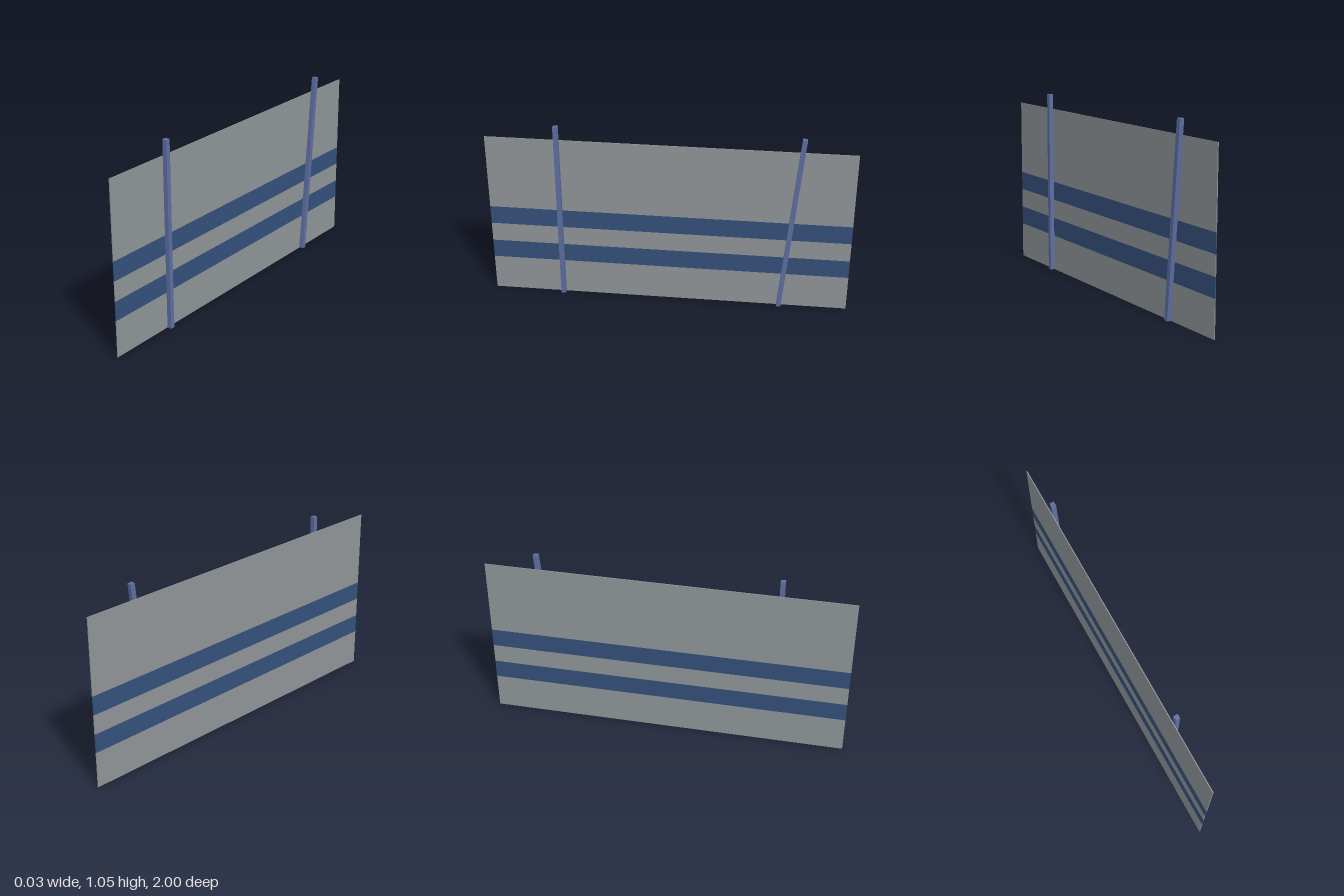
import * as THREE from 'three';

export function createModel() {
  const group = new THREE.Group();
  const mat = (name, color) => {
    const m = new THREE.MeshStandardMaterial({ color });
    m.name = name;
    return m;
  };
  const grey = mat('panelGrey', 0x8f9497);
  const navy = mat('stripeNavy', 0x34507a);
  const blue = mat('postBlue', 0x5d6ea0);

  const addBox = (name, material, size, position) => {
    const mesh = new THREE.Mesh(new THREE.BoxGeometry(...size), material);
    mesh.name = name;
    mesh.position.set(...position);
    group.add(mesh);
    return mesh;
  };

  // Thin panel, stacked from plain and striped bands
  const levels = [0, 0.206, 0.314, 0.425, 0.532, 0.963];
  for (let i = 0; i < levels.length - 1; i++) {
    const striped = i % 2 === 1;
    const height = levels[i + 1] - levels[i];
    addBox(striped ? 'panelStripe' : 'panelBand', striped ? navy : grey,
      [0.005, height, 2], [-0.0125, levels[i] + height / 2, 0]);
  }

  // Square posts: one upright, one leaning backwards
  const postSize = [0.025, 1.05, 0.026];
  addBox('frontPost', blue, postSize, [0.0025, 0.525, 0.605]);
  const leaning = addBox('leaningPost', blue, postSize, [0.0025, 0.5245, -0.668]);
  leaning.rotation.x = -0.087;

  return group;
}
